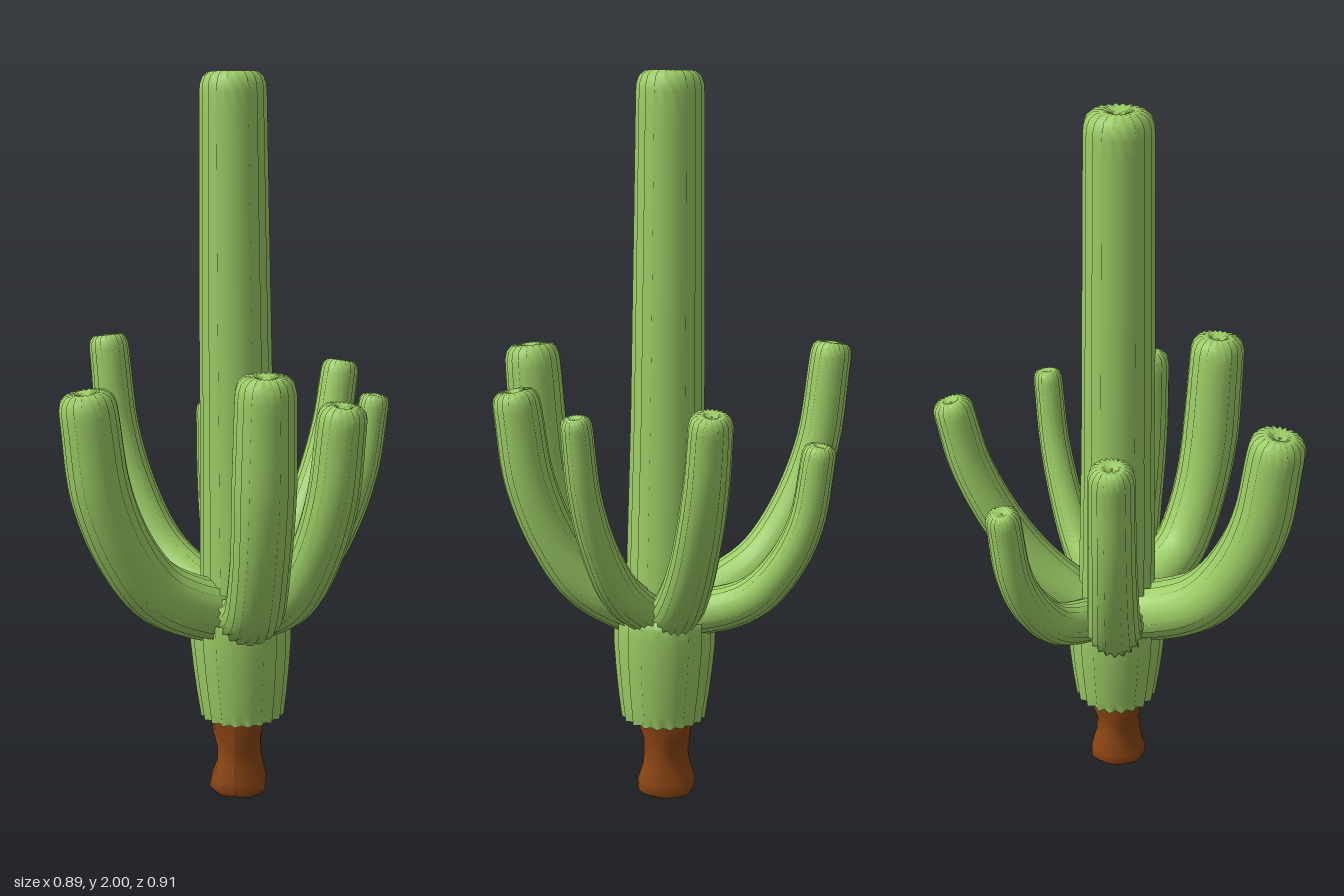
import * as THREE from 'three';

const GREEN = new THREE.MeshStandardMaterial({ color: 0x9ccc65 });
const BROWN = new THREE.MeshStandardMaterial({ color: 0x8b4513 });
const V = (x, y, z) => new THREE.Vector3(x, y, z);
const lerp = THREE.MathUtils.lerp;

// Piecewise linear lookup in evenly spaced values.
function sample(values, t) {
  const f = t * (values.length - 1), i = Math.min(Math.floor(f), values.length - 2);
  return lerp(values[i], values[i + 1], f - i);
}

// Star-shaped cross-section swept along a curve, with a domed, dimpled crown.
function ribbedStem(name, points, radii, { ribs = 20, depth = 0.13, rows = 28, crown = 0.75 } = {}) {
  const curve = new THREE.CatmullRomCurve3(points);
  const frames = curve.computeFrenetFrames(rows);
  // Each ring: curve step, radius scale, lift along the axis, rib depth
  const rings = [[0, 0, 0, depth], [0, 1, 0, depth]];
  for (let i = 0; i <= rows; i++) rings.push([i, 1, 0, depth]);
  for (const [s, lift] of [[0.98, 0.4], [0.9, 0.75], [0.72, 0.98], [0.5, 1], [0.25, 0.88], [0, 0.75]]) {
    rings.push([rows, s, lift * crown, depth + 0.14 * lift]);
  }
  const n = ribs * 2, pos = [], index = [];
  rings.forEach(([step, scale, lift, d], r) => {
    const u = step / rows, radius = sample(radii, u);
    const c = curve.getPointAt(u).addScaledVector(frames.tangents[step], lift * radius);
    for (let j = 0; j < n; j++) {
      const a = (j / n) * Math.PI * 2, rad = radius * scale * (j % 2 ? 1 - d : 1);
      const p = c.clone()
        .addScaledVector(frames.normals[step], Math.cos(a) * rad)
        .addScaledVector(frames.binormals[step], Math.sin(a) * rad);
      pos.push(p.x, p.y, p.z);
      // Ring 1 to 2 is a duplicated edge, kept sharp
      if (r < rings.length - 1 && r !== 1) {
        const k = (j + 1) % n, A = r * n + j, B = r * n + k;
        index.push(A, B, A + n, B, B + n, A + n);
      }
    }
  });
  const geo = new THREE.BufferGeometry();
  geo.setAttribute('position', new THREE.Float32BufferAttribute(pos, 3));
  geo.setIndex(index);
  geo.computeVertexNormals();
  const mesh = new THREE.Mesh(geo, GREEN);
  mesh.name = name;
  return mesh;
}

// Gnarled woody base with a pinched waist.
function woodyBase() {
  const profile = [[0, 0], [0.07, 0], [0.08, 0.012], [0.079, 0.04], [0.066, 0.085], [0.062, 0.13],
    [0.071, 0.175], [0.077, 0.215], [0.078, 0.245], [0, 0.25]];
  const geo = new THREE.LatheGeometry(profile.map(([x, y]) => new THREE.Vector2(x, y)), 20);
  const p = geo.attributes.position;
  for (let i = 0; i < p.count; i++) {
    const a = Math.atan2(p.getZ(i), p.getX(i)), y = p.getY(i);
    const k = 1 + 0.05 * Math.sin(3 * a + y * 25) + 0.03 * Math.sin(7 * a - y * 40);
    p.setXYZ(i, p.getX(i) * k, y, p.getZ(i) * k);
  }
  geo.computeVertexNormals();
  const mesh = new THREE.Mesh(geo, BROWN);
  mesh.position.set(0.034, 0, -0.012);
  mesh.name = 'woodyBase';
  return mesh;
}

// Arm courses as [outward share, upward share]: upright elbow and leaning sweep.
const UPRIGHT = [[0, 0], [0.32, 0.04], [0.63, 0.13], [0.82, 0.32], [0.94, 0.58], [1, 1]];
const LEANING = [[0, 0], [0.25, 0.08], [0.5, 0.25], [0.74, 0.5], [0.92, 0.78], [1, 1]];

function arm([x, z, top, tipRadius, rootRadius, lean]) {
  const hub = V(0.035, 0.53, -0.012), end = top - tipRadius * 0.75;
  const points = UPRIGHT.map(([out, up], i) => {
    const o = lerp(out, LEANING[i][0], lean), h = lerp(up, LEANING[i][1], lean);
    return V(lerp(hub.x, x, o), lerp(hub.y, end, h), lerp(hub.z, z, o));
  });
  return ribbedStem('arm', points, [rootRadius, rootRadius, (rootRadius + tipRadius) / 2, tipRadius * 1.06, tipRadius]);
}

export function createModel() {
  const group = new THREE.Group();
  group.add(woodyBase());

  // Thick lower trunk and slim central column
  group.add(ribbedStem('lowerTrunk', [V(0.045, 0.23, -0.012), V(0.038, 0.52, -0.012)],
    [0.118, 0.128, 0.136, 0.142, 0.143], { rows: 8, crown: 0.25 }));
  group.add(ribbedStem('column', [V(0.038, 0.5, -0.012), V(0.03, 0.9, -0.012), V(0.022, 1.4, -0.012), V(0.016, 1.945, -0.012)],
    [0.112, 0.107, 0.101, 0.098, 0.094, 0.09], { crown: 0.6 }));

  // Arms: tip x, tip z, top height, tip radius, root radius, lean
  const arms = [
    [-0.39, -0.235, 1.27, 0.058, 0.078, 0.4],
    [-0.125, -0.415, 1.05, 0.046, 0.062, 0.3],
    [0.262, -0.392, 1.19, 0.056, 0.068, 0.9],
    [0.395, -0.055, 1.15, 0.042, 0.058, 0.6],
    [0.342, 0.24, 1.17, 0.065, 0.075, 0.45],
    [0.17, 0.375, 1.26, 0.078, 0.08, 0],
    [-0.305, 0.285, 1.19, 0.077, 0.088, 0.35],
  ];
  arms.forEach((a) => group.add(arm(a)));
  return group;
}
